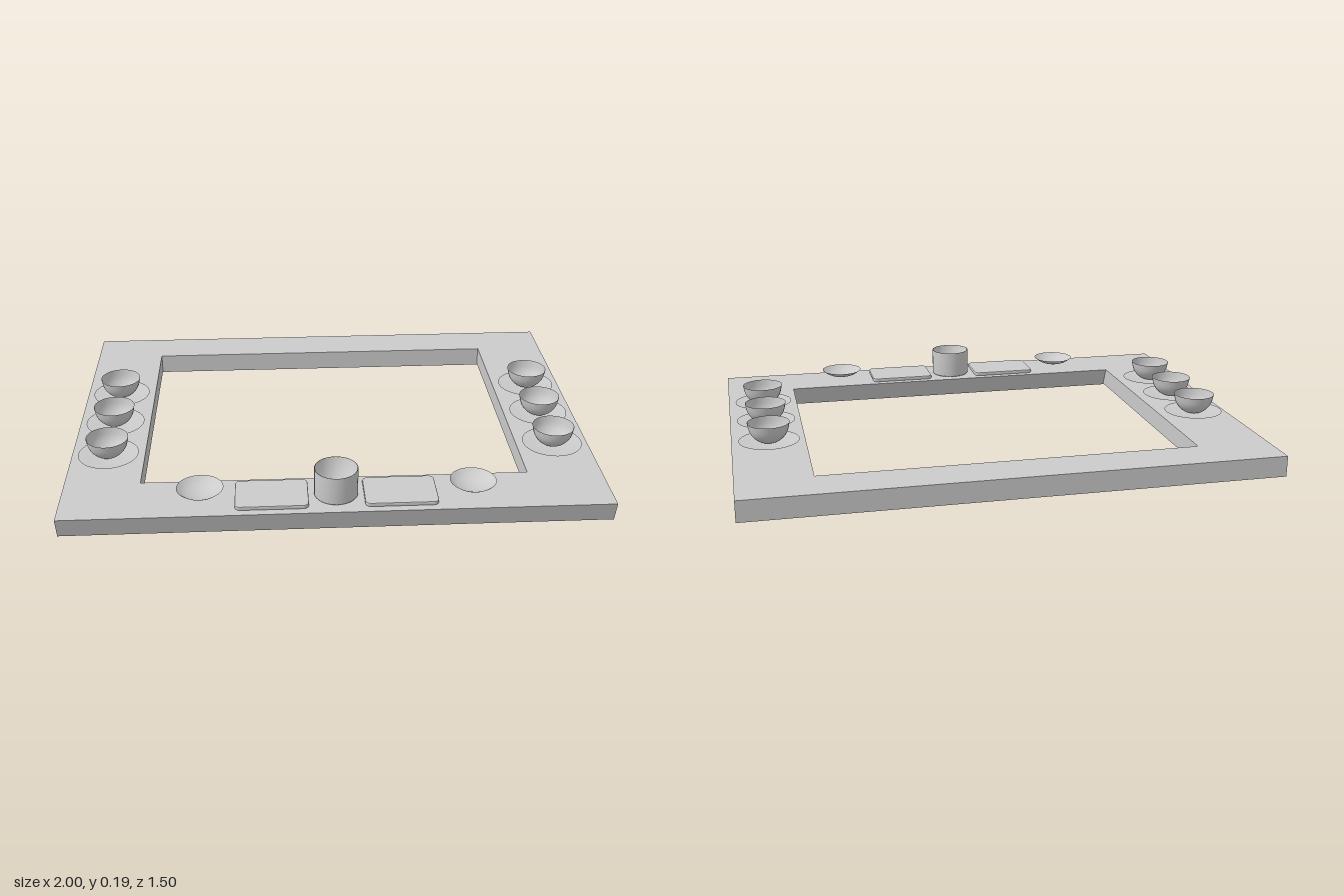
import * as THREE from 'three';

const grey = new THREE.MeshStandardMaterial({ color: 0xcccccc });
const thin = new THREE.MeshStandardMaterial({ color: 0xcccccc, side: THREE.DoubleSide });

// Rail of the frame: a (z, y) profile extruded along x, centred on x
function rail(name, profile, width, x = 0) {
  const shape = new THREE.Shape(profile.map(([z, y]) => new THREE.Vector2(z, y)));
  const geo = new THREE.ExtrudeGeometry(shape, { depth: width, bevelEnabled: false });
  geo.translate(0, 0, -width / 2).rotateY(-Math.PI / 2);
  const mesh = new THREE.Mesh(geo, grey);
  mesh.name = name;
  mesh.position.x = x;
  return mesh;
}

// Turned piece: smooth curve through (radius, height) points
function turned(name, points, x, z) {
  const curve = new THREE.SplineCurve(points.map(([r, y]) => new THREE.Vector2(r, y)));
  const mesh = new THREE.Mesh(new THREE.LatheGeometry(curve.getPoints(12), 40), thin);
  mesh.name = name;
  mesh.position.set(x, 0, z);
  return mesh;
}

// Flat tray with rounded corners and a softened edge
function tray(name, x, z, w, d) {
  const b = 0.004, r = 0.016, hw = w / 2 - b, hd = d / 2 - b;
  const s = new THREE.Shape();
  s.absarc(hw - r, hd - r, r, 0, Math.PI / 2);
  s.absarc(-hw + r, hd - r, r, Math.PI / 2, Math.PI);
  s.absarc(-hw + r, -hd + r, r, Math.PI, Math.PI * 1.5);
  s.absarc(hw - r, -hd + r, r, Math.PI * 1.5, Math.PI * 2);
  const geo = new THREE.ExtrudeGeometry(s, {
    depth: 0.008, bevelThickness: b, bevelSize: b, bevelSegments: 2, curveSegments: 6,
  });
  geo.rotateX(-Math.PI / 2);
  const mesh = new THREE.Mesh(geo, grey);
  mesh.name = name;
  mesh.position.set(x, 0.083, z);
  return mesh;
}

export function createModel() {
  const group = new THREE.Group();
  const H = 0.08;

  // Rectangular table frame, front rail with slanted faces
  group.add(rail('frontRail', [[0.55, 0], [0.73, 0], [0.752, H], [0.515, H]], 2));
  group.add(rail('backRail', [[-0.75, 0], [-0.575, 0], [-0.575, H], [-0.75, H]], 2));
  for (const side of [1, -1]) {
    const label = side > 0 ? 'left' : 'right';
    group.add(rail(label + 'Rail',
      [[-0.575, 0.005], [0.548, 0.005], [0.515, H], [-0.575, H]], 0.28, side * 0.86));

    // Bowls on shallow plates along each side
    for (const z of [-0.19, 0.062, 0.316]) {
      group.add(turned(label + 'Plate', [[0, 0.086], [0.05, 0.087], [0.115, 0.094]], side * 0.858, z));
      group.add(turned(label + 'Bowl',
        [[0, 0.087], [0.03, 0.089], [0.054, 0.104], [0.072, 0.13], [0.08, 0.165]], side * 0.858, z));
    }

    // Small dish and tray on the front rail
    group.add(turned(label + 'Dish',
      [[0, 0.094], [0.03, 0.097], [0.062, 0.108], [0.085, 0.125]], side * 0.495, 0.63));
    group.add(tray(label + 'Tray', side > 0 ? 0.229 : -0.238, 0.633, 0.265, 0.18));
  }

  // Central cup: straight outside, tapered hollow inside
  const cupProfile = [[0, 0.08], [0.076, 0.08], [0.08, 0.085], [0.08, 0.19], [0.077, 0.19], [0.053, 0.095], [0, 0.095]];
  const cup = new THREE.Mesh(
    new THREE.LatheGeometry(cupProfile.map(([r, y]) => new THREE.Vector2(r, y)), 32), thin);
  cup.name = 'cup';
  cup.position.set(-0.004, 0, 0.629);
  group.add(cup);

  return group;
}
